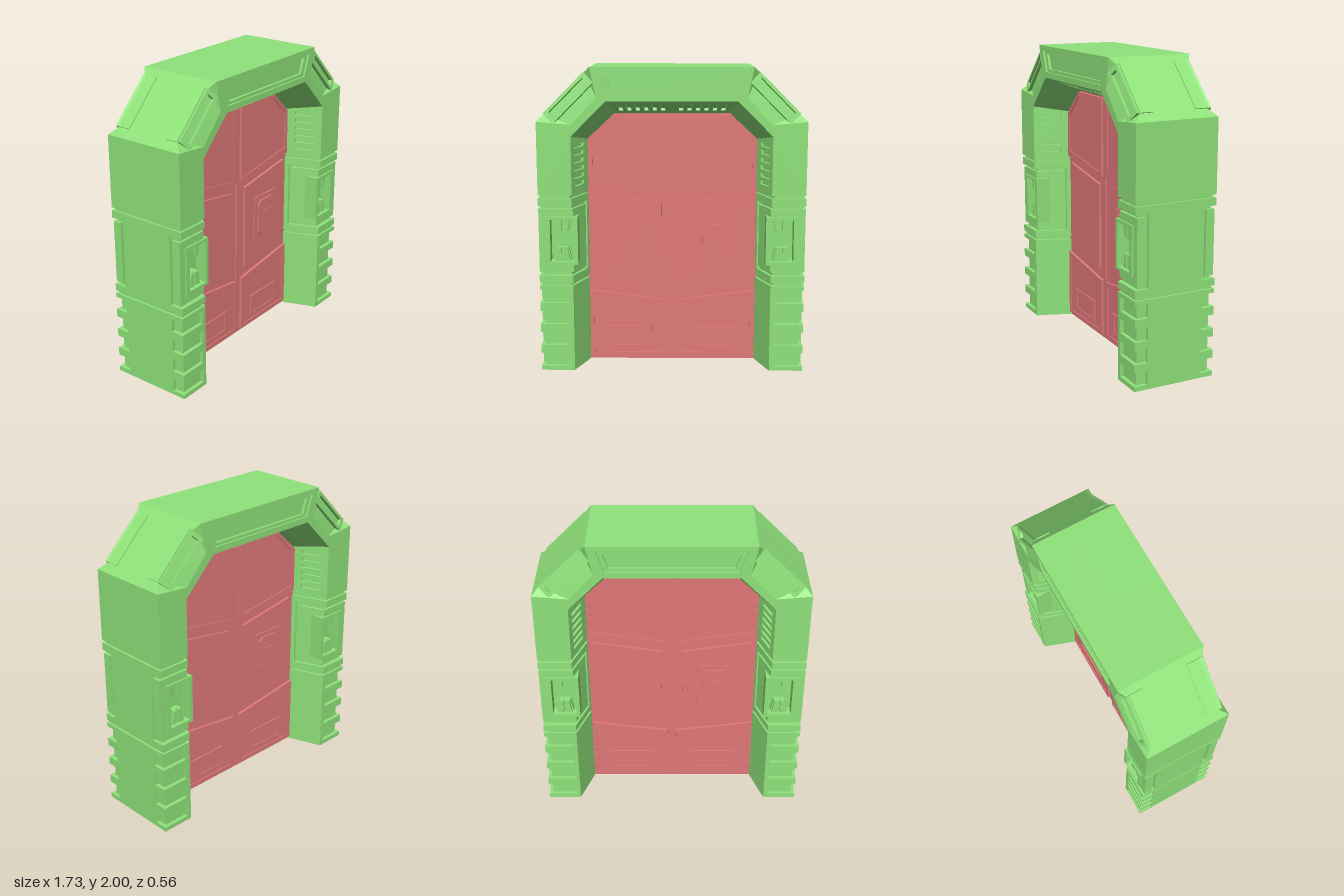
import * as THREE from 'three';

const green = new THREE.MeshStandardMaterial({ color: 0x8fe27a, side: THREE.DoubleSide, flatShading: true });
const red = new THREE.MeshStandardMaterial({ color: 0xe07878, side: THREE.DoubleSide, flatShading: true });
const V = (a) => new THREE.Vector3(...a);
const rect = (x0, y0, x1, y1) => [[x0, y0], [x1, y0], [x1, y1], [x0, y1]];

function add(parent, name, geo, mat = green) {
  const mesh = new THREE.Mesh(geo, mat);
  mesh.name = name;
  parent.add(mesh);
  return mesh;
}

// Flat outline with holes, extruded along its local z
function extrude(pts, depth, holes = []) {
  const shape = new THREE.Shape(pts.map((p) => new THREE.Vector2(...p)));
  holes.forEach((h) => shape.holes.push(new THREE.Path(h.map((p) => new THREE.Vector2(...p)))));
  return new THREE.ExtrudeGeometry(shape, { depth, bevelEnabled: false });
}
const slab = (pts, z0, z1, holes) => extrude(pts, z1 - z0, holes).translate(0, 0, z0);

// Same, laid on a slanted plane given by origin and two axes
function onPlane(geo, origin, u, v) {
  const a = V(u).normalize(), b = V(v).normalize();
  const m = new THREE.Matrix4().makeBasis(a, b, a.clone().cross(b).normalize());
  return geo.applyMatrix4(m.setPosition(V(origin)));
}

// Shell of flat polygons
function faces(polys) {
  const pos = [];
  polys.forEach((p) => {
    for (let i = 1; i < p.length - 1; i++) pos.push(...p[0], ...p[i], ...p[i + 1]);
  });
  const g = new THREE.BufferGeometry();
  g.setAttribute('position', new THREE.Float32BufferAttribute(pos, 3));
  g.computeVertexNormals();
  return g;
}

// Post: a stack of horizontal slices, each with its own plan outline (x, z)
function buildPost(side) {
  const inner = [[0.645, 0.28], [0.56, 0.04], [0.56, 0]];
  const full = [[0.865, 0], [0.865, 0.28], ...inner];
  const notch = [[0.865, 0], [0.865, 0.19], [0.84, 0.19], [0.84, 0.255], [0.675, 0.255], [0.675, 0.28], ...inner];
  const groove = [[0.85, 0], [0.85, 0.265], [0.66, 0.265], [0.575, 0.04], [0.575, 0]];
  const cGroove = [[0.865, 0], [0.865, 0.19], [0.845, 0.19], [0.845, 0.25], [0.655, 0.25], [0.59, 0.065], [0.569, 0.065], [0.56, 0.04], [0.56, 0]];
  const midSide = [[0.865, 0], [0.865, 0.19], [0.845, 0.19], [0.845, 0.21], [0.865, 0.21], [0.865, 0.268]];
  const midIn = [[0.576, 0.085], [0.592, 0.085], [0.585, 0.065], [0.569, 0.065], [0.56, 0.04], [0.56, 0]];
  const mid = [...midSide, [0.641, 0.268], ...midIn];
  const pocket = [...midSide, [0.79, 0.268], [0.79, 0.2], [0.617, 0.2], ...midIn];
  const layers = [];
  let y = 0;
  for (let i = 0; i < 4; i++) {
    const b = 0.03 + i * 0.144;
    layers.push([full, y, b], [notch, b, b + 0.09]);
    y = b + 0.09;
  }
  layers.push([full, y, 0.58], [groove, 0.58, 0.6], [full, 0.6, 0.647], [cGroove, 0.647, 0.67],
    [mid, 0.67, 0.74], [pocket, 0.74, 1.02], [mid, 1.02, 1.09], [cGroove, 1.09, 1.11],
    [full, 1.11, 1.16], [groove, 1.16, 1.18], [full, 1.18, 1.2]);
  layers.forEach(([o, y0, y1]) =>
    add(side, 'postSlice', extrude(o, y1 - y0).rotateX(Math.PI / 2).translate(0, y1, 0)));

  // Control niche with two wedge grips
  add(side, 'nicheFrame', slab(rect(0.61, 0.72, 0.82, 1.04), 0.18, 0.28, [rect(0.635, 0.74, 0.79, 1.02)]));
  for (const s of [-1, 1]) {
    const at = (x, d) => [x, 0.88 + s * d];
    add(side, 'nicheGrip', slab([at(0.655, 0.14), at(0.77, 0.14), at(0.75, 0.05), at(0.675, 0.05)], 0.195, 0.235));
    add(side, 'nicheGripRidge', slab([at(0.665, 0.14), at(0.705, 0.14), at(0.705, 0.05), at(0.682, 0.05)], 0.23, 0.255));
    add(side, 'nicheGripRidge', slab([at(0.72, 0.14), at(0.76, 0.14), at(0.743, 0.05), at(0.72, 0.05)], 0.23, 0.255));
  }
}

// Upper corner: outer skin, bevelled edge with a framed lamp, vented reveal
function buildCorner(side) {
  const A = [0.865, 1.655, 0.28], B = [0.52, 2, 0.28], A2 = [0.82, 1.7, 0.23], B2 = [0.555, 1.965, 0.23];
  const P = [0.64, 1.635, 0.28], Q = [0.48, 1.81, 0.28];
  const I1 = [0.645, 1.56, 0.28], I2 = [0.42, 1.785, 0.28], R1 = [0.56, 1.52, 0.04], R2 = [0.38, 1.69, 0.04];
  const back = (p) => [p[0], p[1], 0];
  add(side, 'cornerSkin', faces([
    [[0.865, 1.2, 0], back(A), A, [0.865, 1.2, 0.28]],
    [back(A), back(B), B, B2, A2, A],
    [A2, B2, Q, P], [A, A2, P], [B, Q, B2],
    [I1, I2, R2, R1],
    [[0.56, 1.2, 0.04], R1, back(R1), [0.56, 1.2, 0]], [R1, R2, back(R2), back(R1)],
    [back(B), [0, 2, 0], [0, 2, 0.28], B],
  ]));
  const lean = [-0.678, -0.678, 0.284], slope = [-1, 1, 0];
  add(side, 'cornerLampFrame', onPlane(
    extrude(rect(-0.185, 0, 0.185, 0.095), 0.022, [rect(-0.155, 0.022, 0.155, 0.072)]), [0.6875, 1.8325, 0.23], slope, lean));
  add(side, 'cornerLampCap', onPlane(
    extrude(rect(-0.185, 0, 0.185, 0.085), 0.006), [0.6875, 1.8325, 0.145], slope, [0, 0, 1]));

  // Side vents
  const slots = [];
  for (let i = 0; i < 6; i++) slots.push(rect(0.05, 0.03 + i * 0.05, 0.19, 0.055 + i * 0.05));
  const u = [-0.085, 0, -0.24], up = [0, 1, 0];
  add(side, 'sideReveal', onPlane(
    extrude([[0, 0], [0.2546, 0], [0.2546, 0.32], [0, 0.36]], 0.02, slots), [0.645, 1.2, 0.28], u, up));
  add(side, 'sideVentBack', onPlane(
    extrude(rect(0.03, 0.01, 0.21, 0.32), 0.005).translate(0, 0, 0.018), [0.645, 1.2, 0.28], u, up));
}

// Front face of the arch, header panel and header vents
function buildHeader(half) {
  const right = [[0.645, 1.2], [0.865, 1.2], [0.865, 1.655], [0.64, 1.635], [0.48, 1.81], [0.52, 2]];
  const left = right.map(([x, y]) => [-x, y]).reverse();
  const trap = [[-0.46, 1.965], [0.46, 1.965], [0.41, 1.825], [-0.41, 1.825]];
  const small = [[-0.42, 1.945], [0.42, 1.945], [0.385, 1.845], [-0.385, 1.845]];
  add(half, 'archFace', slab([...right, ...left, [-0.645, 1.56], [-0.42, 1.785], [0.42, 1.785], [0.645, 1.56]], 0.25, 0.28, [trap]));
  add(half, 'headerPanel', slab(trap, 0.24, 0.268, [small]));
  add(half, 'headerPanelFloor', slab(trap, 0.235, 0.25));

  const slots = [];
  for (const s of [-1, 1])
    for (let i = 0; i < 6; i++) {
      const x = s * (0.065 + i * 0.055);
      slots.push([[x - 0.014, 0.06], [x + 0.014, 0.06], [x + 0.014 - s * 0.008, 0.2], [x - 0.014 - s * 0.008, 0.2]]);
    }
  const o = [0, 1.785, 0.28], v = [0, -0.095, -0.24];
  add(half, 'headerReveal', onPlane(
    extrude([[-0.42, 0], [0.42, 0], [0.38, 0.258], [-0.38, 0.258]], 0.02, slots), o, [1, 0, 0], v));
  add(half, 'headerVentBack', onPlane(
    extrude(rect(-0.38, 0.04, 0.38, 0.22), 0.005).translate(0, 0, 0.018), o, [1, 0, 0], v));
}

// Double door, one leaf per side; the +x leaf carries the keypad
function buildDoor(half) {
  const door = new THREE.Group();
  door.name = 'door';
  half.add(door);
  add(door, 'doorCore', slab([[-0.57, 0], [0.57, 0], [0.57, 1.52], [0.385, 1.7], [-0.385, 1.7], [-0.57, 1.52]], 0, 0.035), red);
  add(door, 'centreSeal', slab(rect(-0.018, 0.04, 0.018, 1.66), 0.03, 0.045), red);
  for (const s of [-1, 1]) {
    const plate = (name, pts, z0, z1, hole) =>
      add(door, name, slab(pts.map(([x, y]) => [s * x, y]), z0, z1, hole ? [hole.map(([x, y]) => [s * x, y])] : []), red);
    const upper = [[0.03, 1.15], [0.555, 1.2], [0.555, 1.51], [0.38, 1.68], [0.03, 1.68]];
    const upperIn = [[0.06, 1.175], [0.53, 1.245], [0.53, 1.5], [0.375, 1.65], [0.06, 1.65]];
    const lower = [[0.03, 0.025], [0.555, 0.025], [0.555, 0.49], [0.03, 0.42]];
    const lowerIn = [[0.06, 0.05], [0.53, 0.05], [0.53, 0.46], [0.06, 0.39]];
    plate('upperLeafRim', upper, 0.03, 0.055, upperIn);
    plate('upperLeafPanel', upperIn, 0.03, 0.048);
    plate('lowerLeafRim', lower, 0.03, 0.055, lowerIn);
    plate('lowerLeafPanel', lowerIn, 0.03, 0.048);
    plate('kickPanel', rect(0.14, 0.08, 0.44, 0.235), 0.04, 0.058, rect(0.165, 0.1, 0.42, 0.215));
    plate('kickPanelInset', rect(0.165, 0.1, 0.42, 0.215), 0.04, 0.052);
    plate('middleLeafPanel', [[0.07, 0.49], [0.515, 0.56], [0.515, 1.16], [0.07, 1.09]], 0.03, 0.053);
  }
  add(door, 'keypadBase', slab(rect(0.17, 0.665, 0.41, 0.98), 0.05, 0.062), red);
  add(door, 'keypad', slab([[0.23, 0.69], [0.35, 0.69], [0.375, 0.715], [0.375, 0.925], [0.35, 0.95], [0.23, 0.95], [0.205, 0.925], [0.205, 0.715]], 0.06, 0.074), red);
  add(door, 'keypadLatch', slab(rect(0.25, 0.85, 0.34, 0.865), 0.07, 0.08), red);
}

export function createModel() {
  const model = new THREE.Group();
  model.name = 'doorway';
  // The back is the front turned half way round
  for (const turn of [0, Math.PI]) {
    const half = new THREE.Group();
    half.name = turn ? 'backHalf' : 'frontHalf';
    half.rotation.y = turn;
    model.add(half);
    for (const s of [1, -1]) {
      const side = new THREE.Group();
      side.name = s > 0 ? 'leftSide' : 'rightSide';
      side.scale.x = s;
      half.add(side);
      buildPost(side);
      buildCorner(side);
    }
    buildHeader(half);
    buildDoor(half);
  }
  return model;
}
